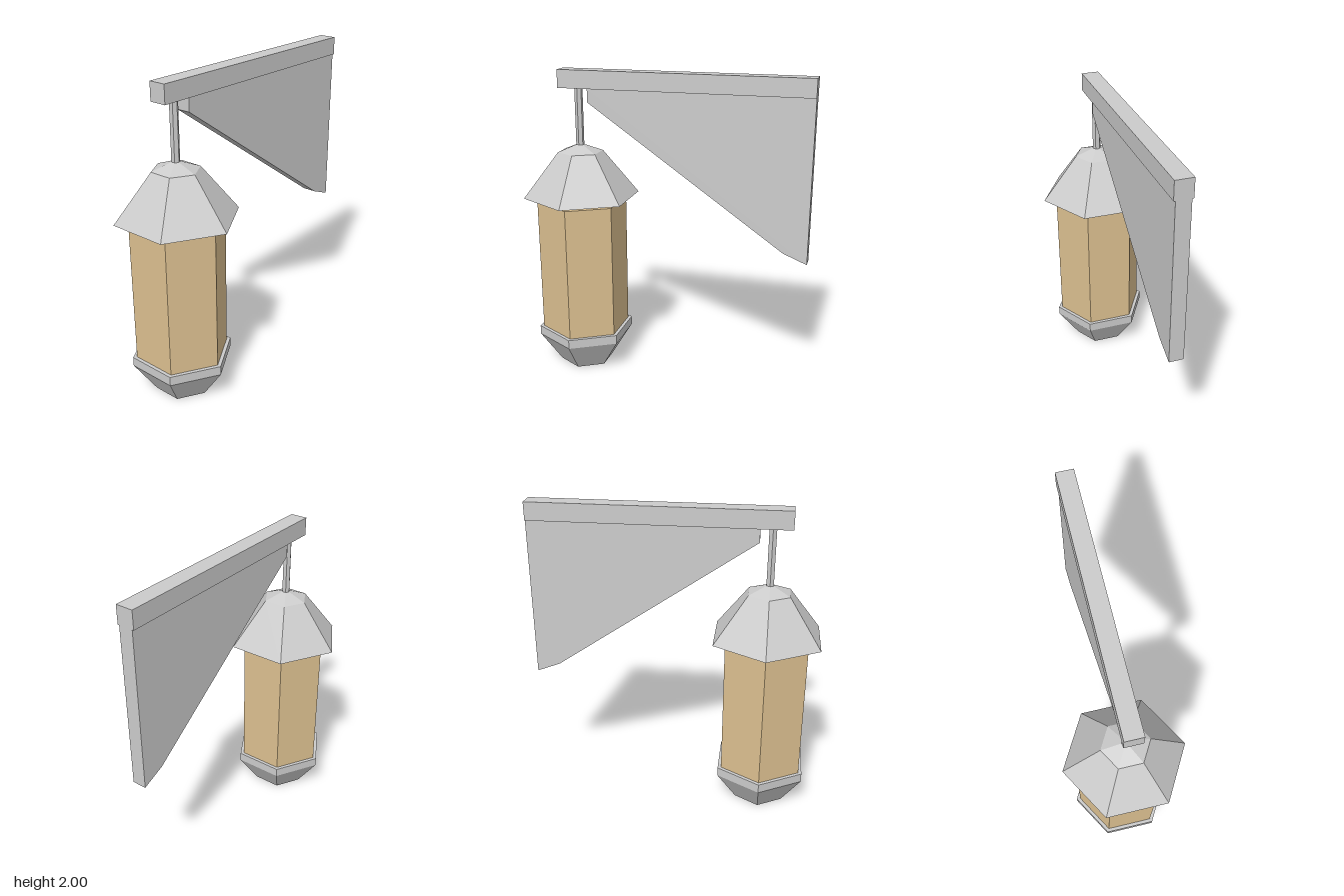
import * as THREE from 'three';

const LAMP_Z = 0.58;

function material(color = 0xcccccc) {
  return new THREE.MeshStandardMaterial({ color, flatShading: true });
}

export function createModel() {
  const group = new THREE.Group();
  const grey = material();
  const glass = material(0xdcc090);

  const add = (name, geometry, mat = grey) => {
    const mesh = new THREE.Mesh(geometry, mat);
    mesh.name = name;
    group.add(mesh);
    return mesh;
  };

  // Six-sided lamp part from a [radius, height] profile, corners on the x axis
  const addHex = (name, profile, mat) => {
    const points = profile.map(([r, y]) => new THREE.Vector2(r, y));
    const geometry = new THREE.LatheGeometry(points, 6, Math.PI / 6);
    add(name, geometry, mat).position.z = LAMP_Z;
  };

  // Lantern, from bottom to top
  addHex('lampBase', [[0, 0], [0.18, 0], [0.32, 0.205], [0, 0.205]]);
  addHex('baseRim', [[0, 0.205], [0.32, 0.205], [0.32, 0.265], [0, 0.265]]);
  addHex('glassBody', [[0, 0.26], [0.295, 0.26], [0.295, 1.15], [0, 1.15]], glass);
  addHex('roof', [[0, 1.18], [0.38, 1.18], [0.147, 1.475], [0, 1.53]]);
  addHex('hangingRod', [[0, 1.5], [0.026, 1.5], [0.026, 1.89], [0, 1.89]]);

  // Horizontal arm
  add('arm', new THREE.BoxGeometry(0.11, 0.115, 1.615)).position.set(0, 1.9425, -0.1075);

  // Tapering bracket panel under the arm, drawn in (z, y)
  const outline = new THREE.Shape(
    [[0.505, 1.886], [-0.915, 1.886], [-0.915, 0.86], [-0.765, 0.92], [0.505, 1.8]]
      .map(([z, y]) => new THREE.Vector2(z, y))
  );
  const panel = new THREE.ExtrudeGeometry(outline, { depth: 0.09, bevelEnabled: false });
  panel.translate(0, 0, -0.045).rotateY(-Math.PI / 2);
  add('bracketPanel', panel);

  return group;
}
